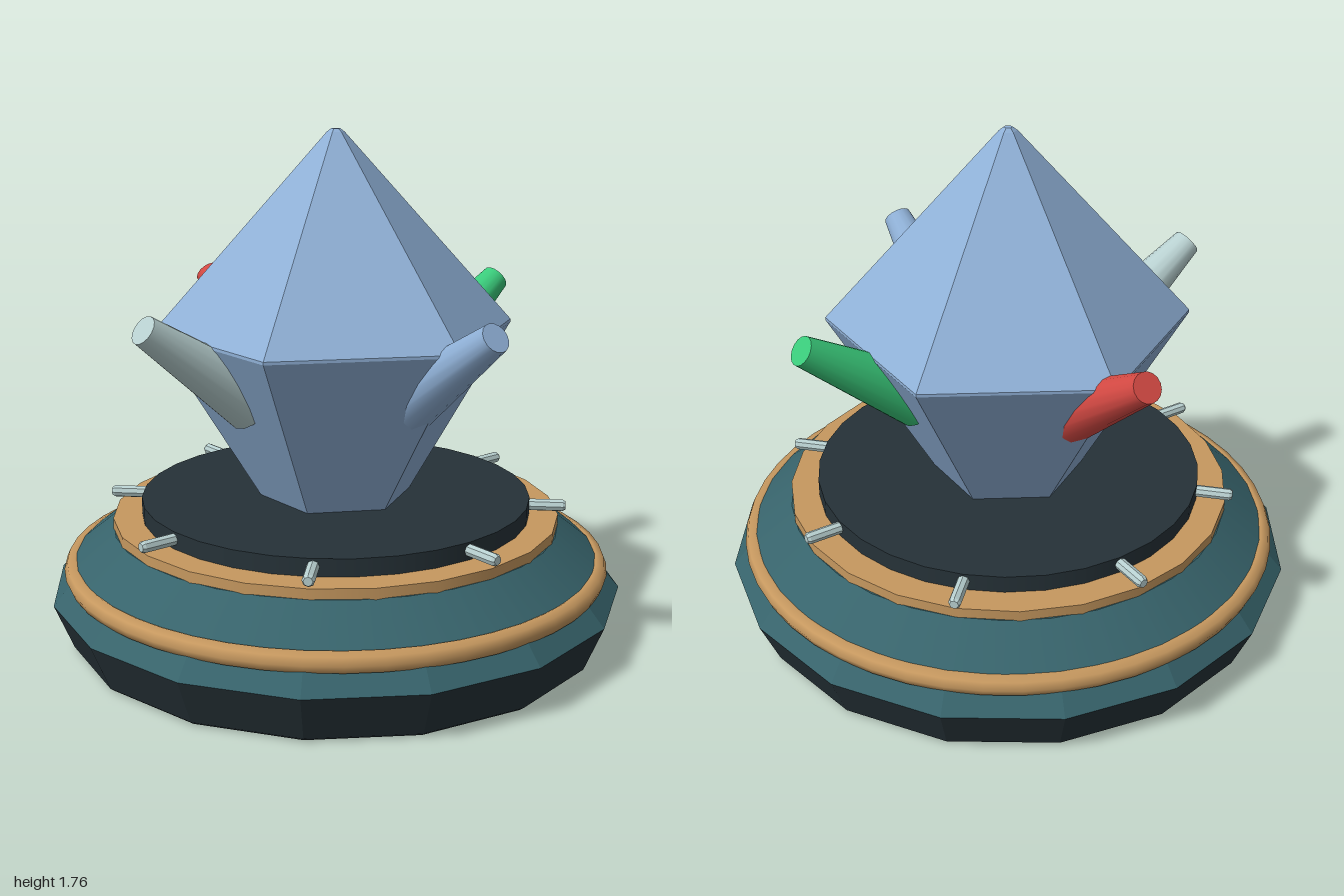
import * as THREE from 'three';

const material = (name, color) => {
  const m = new THREE.MeshStandardMaterial({ color });
  m.name = name;
  return m;
};

export function createModel() {
  const model = new THREE.Group();
  model.name = 'crystalOnPedestal';
  const dark = material('dark slate', 0x263238);
  const teal = material('deep teal', 0x37636b);
  const gold = material('brass', 0xc6985f);
  const blue = material('crystal blue', 0x8fb0d6);
  const green = material('green', 0x3acb7b);
  const red = material('red', 0xd64a44);
  const pale = material('pale grey', 0xb8d0d0);

  const add = (name, geometry, mat, parent = model) => {
    const mesh = new THREE.Mesh(geometry, mat);
    mesh.name = name;
    parent.add(mesh);
    return mesh;
  };
  // Gives every face its own normal
  const faceted = (geometry) => {
    const g = geometry.toNonIndexed();
    g.computeVertexNormals();
    return g;
  };
  // Turned solid between two heights
  const frustum = (rBottom, rTop, y0, y1, sides) =>
    new THREE.CylinderGeometry(rTop, rBottom, y1 - y0, sides).translate(0, (y0 + y1) / 2, 0);
  // Faceted solid from [radius, height] points, bottom to top
  const facetedLathe = (points, sides) =>
    faceted(new THREE.LatheGeometry(points.map(([r, y]) => new THREE.Vector2(r, y)), sides));

  // Pedestal, from the ground up
  add('foot', facetedLathe([[0, 0], [0.92, 0], [0.935, 0.012], [1, 0.17], [0, 0.17]], 16), dark);
  add('lowerBody', faceted(frustum(1, 0.945, 0.17, 0.235, 16)), teal);
  add('upperBodyCore', frustum(0.93, 0.93, 0.22, 0.275, 32), teal);
  add('upperBody', frustum(0.93, 0.78, 0.275, 0.395, 32), teal);
  add('trimRing', new THREE.TorusGeometry(0.918, 0.036, 8, 48).rotateX(Math.PI / 2).translate(0, 0.255, 0), gold);
  add('brassDisc', frustum(0.78, 0.78, 0.39, 0.43, 24), gold);
  add('topDisc', frustum(0.68, 0.68, 0.43, 0.49, 32), dark);

  // Eight pegs around the top disc
  for (let i = 0; i < 8; i++) {
    const pivot = new THREE.Group();
    pivot.name = 'peg' + (i + 1);
    pivot.rotation.y = (i * Math.PI) / 4;
    model.add(pivot);
    const profile = [[0, 0.64], [0.021, 0.64], [0.021, 0.795], [0.015, 0.805], [0, 0.805]];
    add('pegPin', facetedLathe(profile, 8).rotateZ(-Math.PI / 2).translate(0, 0.463, 0), pale, pivot);
  }

  // Six-sided main crystal
  add('mainCrystal', facetedLathe(
    [[0, 0.48], [0.26, 0.48], [0.62, 1.08], [0.62, 1.09], [0.03, 1.745], [0.015, 1.756], [0, 1.756]], 6), blue);

  // Four tapered shards leaning outwards
  const shards = [
    ['leftShard', green, 0],
    ['backShard', red, Math.PI / 2],
    ['rightShard', pale, Math.PI],
    ['frontShard', blue, -Math.PI / 2],
  ];
  for (const [name, mat, turn] of shards) {
    const geometry = new THREE.CylinderGeometry(0.05, 0.106, 0.5, 16)
      .rotateZ(-Math.PI / 2 + 0.62)
      .translate(0.567, 1.025, 0);
    add(name, geometry, mat).rotation.y = turn;
  }
  return model;
}
